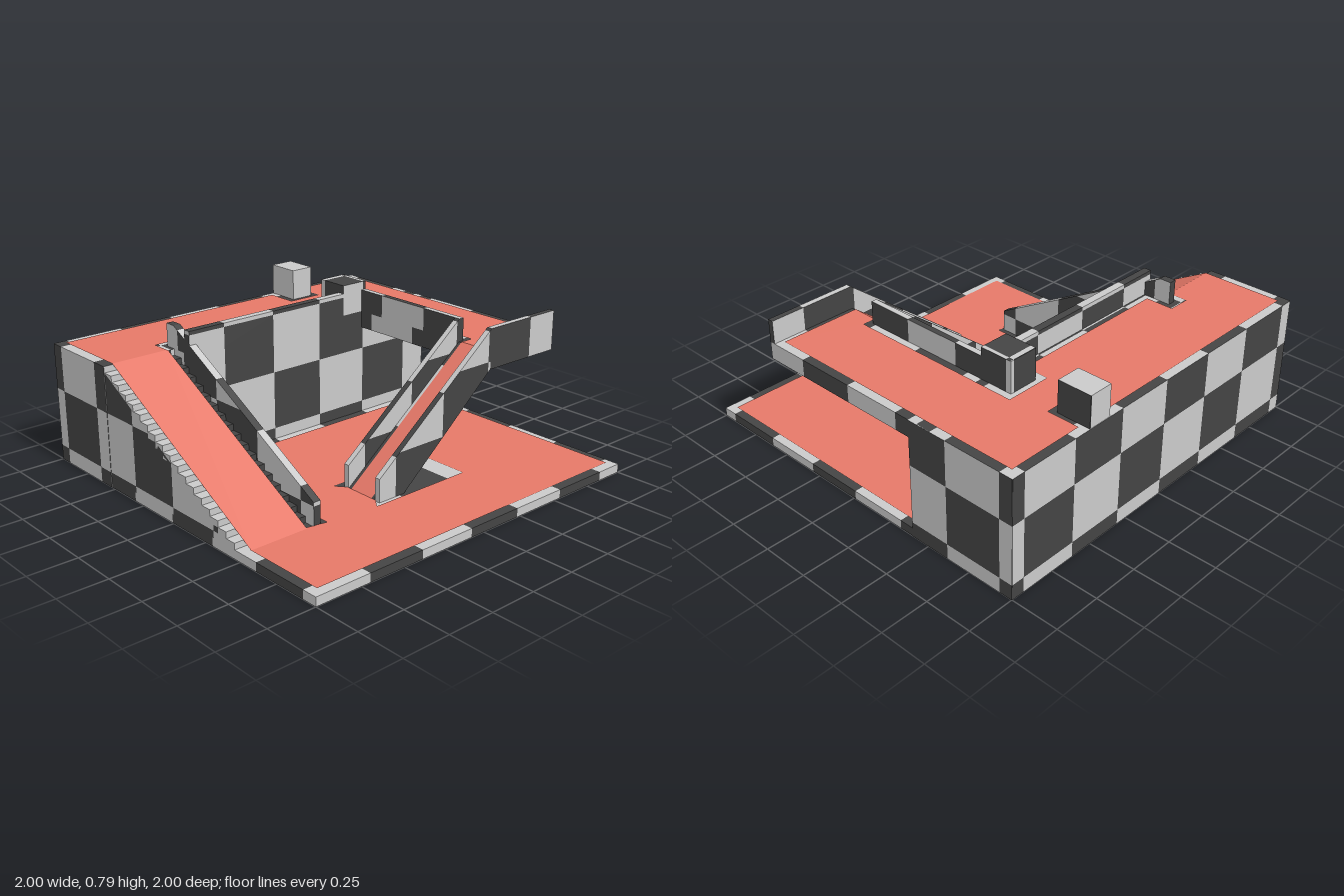
import * as THREE from 'three';

const CELL = 0.31;
const lightGrey = new THREE.MeshStandardMaterial({ color: 0xcacaca });
lightGrey.name = 'lightGrey';
const darkGrey = new THREE.MeshStandardMaterial({ color: 0x444444 });
darkGrey.name = 'darkGrey';
const red = new THREE.MeshStandardMaterial({ color: 0xe67868 });
red.name = 'red';

// Keep the part of a convex polygon where sign * (p[axis] - limit) >= 0
function clip(poly, axis, limit, sign) {
  const out = [];
  poly.forEach((a, i) => {
    const b = poly[(i + 1) % poly.length];
    const da = sign * (a[axis] - limit), db = sign * (b[axis] - limit);
    if (da >= 0) out.push(a);
    if (da * db < 0) out.push(a.map((v, k) => v + (b[k] - v) * da / (da - db)));
  });
  return out;
}

// Cut one flat face along a square grid and sort the pieces into light and dark
function checkFace(poly, centre, origin, buckets) {
  const vs = poly.map(p => new THREE.Vector3(...p));
  const n = new THREE.Vector3();
  for (let i = 1; i < vs.length - 1; i++) {
    n.add(vs[i].clone().sub(vs[0]).cross(vs[i + 1].clone().sub(vs[0])));
  }
  if (n.dot(vs[0].clone().sub(centre)) < 0) poly = poly.slice().reverse();
  const size = n.toArray().map(Math.abs);
  const main = size.indexOf(Math.max(...size));
  const [u, v] = [0, 1, 2].filter(k => k !== main);
  const range = k => {
    const c = poly.map(p => (p[k] - origin[k]) / CELL);
    return [Math.floor(Math.min(...c) + 1e-6), Math.ceil(Math.max(...c) - 1e-6)];
  };
  const [u0, u1] = range(u), [v0, v1] = range(v);
  for (let i = u0; i < u1; i++) {
    for (let j = v0; j < v1; j++) {
      let piece = clip(poly, u, origin[u] + i * CELL, 1);
      piece = clip(piece, u, origin[u] + (i + 1) * CELL, -1);
      piece = clip(piece, v, origin[v] + j * CELL, 1);
      piece = clip(piece, v, origin[v] + (j + 1) * CELL, -1);
      const bucket = buckets[Math.abs(i + j) % 2];
      for (let k = 1; k < piece.length - 1; k++) bucket.push(...piece[0], ...piece[k], ...piece[k + 1]);
    }
  }
}

// Chequered prism: convex profile [a, y] swept along x or z
function prism(name, profile, sweep, from, to, origin) {
  const at = ([a, y], s) => (sweep === 'x' ? [s, y, a] : [a, y, s]);
  const ends = [from, to].map(s => profile.map(p => at(p, s)));
  const centre = new THREE.Vector3();
  ends.flat().forEach(p => centre.add(new THREE.Vector3(...p)));
  centre.divideScalar(profile.length * 2);
  const buckets = [[], []];
  ends.forEach(e => checkFace(e, centre, origin, buckets));
  profile.forEach((p, i) => {
    const j = (i + 1) % profile.length;
    checkFace([ends[0][i], ends[0][j], ends[1][j], ends[1][i]], centre, origin, buckets);
  });
  const geo = new THREE.BufferGeometry();
  geo.setAttribute('position', new THREE.Float32BufferAttribute(buckets.flat(), 3));
  geo.addGroup(0, buckets[0].length / 3, 0);
  geo.addGroup(buckets[0].length / 3, buckets[1].length / 3, 1);
  geo.computeVertexNormals();
  const mesh = new THREE.Mesh(geo, [lightGrey, darkGrey]);
  mesh.name = name;
  return mesh;
}

function block(name, [x0, x1], [y0, y1], [z0, z1], origin) {
  return prism(name, [[x0, y0], [x1, y0], [x1, y1], [x0, y1]], 'z', z0, z1, origin);
}

// Flat red walking surface from an outline of [x, z] points
function walkway(name, y, outline, hole) {
  const pts = list => list.map(([x, z]) => new THREE.Vector2(x, -z));
  const shape = new THREE.Shape(pts(outline));
  if (hole) shape.holes.push(new THREE.Path(pts(hole)));
  const mesh = new THREE.Mesh(new THREE.ShapeGeometry(shape).rotateX(-Math.PI / 2), red);
  mesh.position.y = y;
  mesh.name = name;
  return mesh;
}

// Sloping red strip from four corners, anticlockwise seen from above
function slope(name, a, b, c, d) {
  const geo = new THREE.BufferGeometry();
  geo.setAttribute('position', new THREE.Float32BufferAttribute([a, b, c, a, c, d].flat(), 3));
  geo.computeVertexNormals();
  const mesh = new THREE.Mesh(geo, red);
  mesh.name = name;
  return mesh;
}

export function createModel() {
  const model = new THREE.Group();
  const F = 0.045, T = 0.625, R = 0.745; // floor, terrace and rail heights

  // Base, rear terrace and its front wall
  const terraceGrid = [0, 0.39, -0.93], wallGrid = [0.23, 0.725, -0.45];
  model.add(
    block('base', [-1, 1], [0, F], [-1, 1], [0.23, 0, 0.92]),
    block('terrace', [-1, 1], [F, T], [-1, -0.53], terraceGrid),
    block('terraceFront', [-0.6, 1], [F, T], [-0.53, -0.4], wallGrid),
    block('terraceRail', [-0.6, 0.4], [T, R], [-0.44, -0.4], wallGrid),
  );

  // Thin outer wall panels running down to the ground
  model.add(
    block('rearWall', [-1, 1], [0, T], [-1.002, -0.998], terraceGrid),
    block('leftWall', [0.998, 1.002], [0, T], [-1, -0.4], terraceGrid),
    block('rightWall', [-1.002, -0.998], [0, T], [-1, -0.53], terraceGrid),
  );

  // Raised deck on the left side with rails and two blocks
  model.add(
    block('deck', [0.53, 1], [0.535, T], [-0.4, 0.535], [0.2, 0.5, 0.3]),
    block('deckFrontRail', [0.53, 1], [T, R], [0.505, 0.535], [0.51, 0.9, 0.4]),
    block('deckInnerRail', [0.53, 0.56], [T, R], [-0.4, 0.32], [0.4, 0.9, 0.07]),
    block('frontBlock', [0.4, 0.56], [T, 0.79], [-0.575, -0.4], [0.54, 0.9, -0.55]),
    block('frontBlockBack', [0.4, 0.56], [T, 0.79], [-0.58, -0.575], [0.54, 0.6, -0.6]),
    block('rearBlock', [0.4, 0.525], [T, 0.79], [-1, -0.82], [0.3, 0.6, -1.05]),
    block('rearBlockSide', [0.525, 0.53], [T, 0.79], [-1, -0.82], [0.3, 0.9, -1.05]),
  );

  // Ramp up to the deck, with a rail on each side
  const rampSlab = [[-0.21, F], [-0.05, F], [0.53, 0.535], [0.53, T]];
  const rampRail = [[-0.21, F], [-0.05, F], [0.53, 0.535], [0.53, R], [-0.21, 0.165]];
  model.add(prism('ramp', rampSlab, 'z', 0.32, 0.505, [0.1, 0.415, 0.25]));
  for (const z of [0.29, 0.505]) {
    model.add(prism('rampRail', rampRail, 'z', z, z + 0.03, [0.205, 0.575, 0.25]));
  }

  // Stairs up to the terrace
  const steps = 18, run = 1.05 / steps, rise = (T - F) / steps;
  model.add(prism('stairBody', [[0.52 - run, F], [-0.53, F], [-0.53, T - rise]], 'x', -1, -0.6, terraceGrid));
  const stairs = new THREE.Group();
  stairs.name = 'stairs';
  for (let i = 1; i < steps; i++) {
    const y = F + i * rise, z = 0.52 - i * run;
    stairs.add(block('step', [-1, -0.6], [y - rise, y], [z - run, z], [-0.69, y + 0.1, z + 0.1]));
  }
  model.add(stairs);
  model.add(prism('stairWall', [[0.52, F], [0.52, 0.165], [-0.53, R], [-0.59, R], [-0.59, F]],
    'x', -0.6, -0.56, [-0.7, 0.145, 0.12]));

  // Red walking surfaces
  const lift = 0.005;
  model.add(
    walkway('floorSurface', F + lift,
      [[-0.955, 0.955], [0.96, 0.955], [0.96, -0.35], [-0.53, -0.35], [-0.53, 0.53], [-0.64, 0.51], [-0.955, 0.51]],
      [[-0.25, 0.26], [0.33, 0.26], [0.33, 0.56], [-0.25, 0.56], [-0.21, 0.51], [-0.21, 0.31]]),
    walkway('terraceSurface', T + lift,
      [[-0.955, -0.96], [0.36, -0.96], [0.36, -0.79], [0.555, -0.79], [0.555, -0.96], [0.96, -0.96],
        [0.96, 0.48], [0.53, 0.48], [0.53, 0.34], [0.6, 0.34], [0.6, -0.61], [0.36, -0.61], [0.36, -0.48],
        [-0.53, -0.48], [-0.53, -0.63], [-0.645, -0.63], [-0.645, -0.53], [-0.955, -0.53]]),
    slope('rampSurface', [-0.21, F + lift, 0.48], [0.53, T + lift, 0.48],
      [0.53, T + lift, 0.34], [-0.21, F + lift, 0.34]),
    slope('stairSurface', [-0.955, F + lift, 0.52], [-0.64, F + lift, 0.52],
      [-0.64, T + lift, -0.53], [-0.955, T + lift, -0.53]),
  );
  return model;
}
